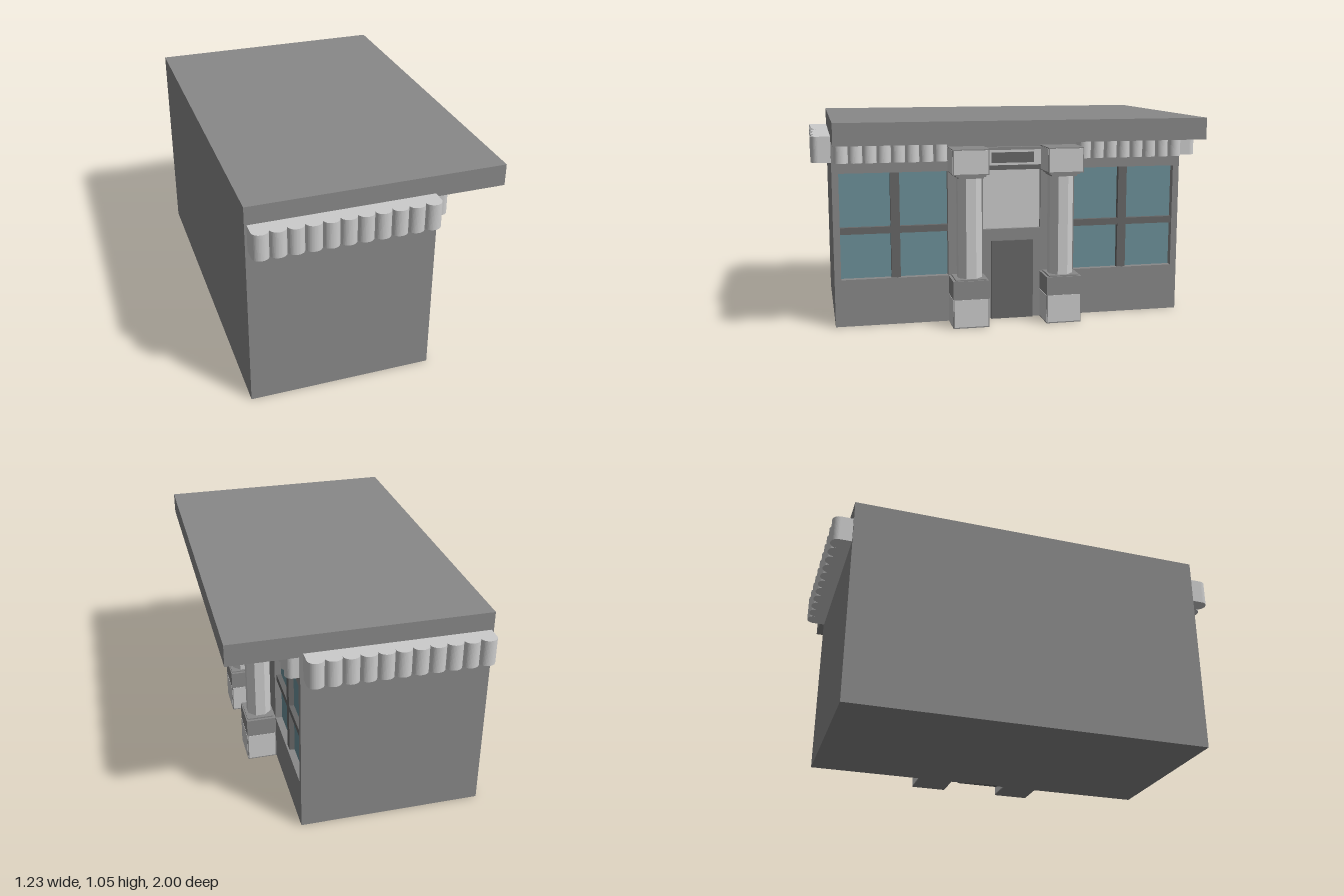
import * as THREE from 'three';

const paint = (color) => new THREE.MeshStandardMaterial({ color, flatShading: true });
const stone = paint(0x898989);
const light = paint(0xc0c0c0);
const dark = paint(0x676767);
const glass = paint(0x6c9099);

export function createModel() {
  const model = new THREE.Group();

  function add(name, geometry, material, parent = model) {
    const mesh = new THREE.Mesh(geometry, material);
    mesh.name = name;
    parent.add(mesh);
    return mesh;
  }

  // Box given by its extents on each axis
  function box(name, [x0, x1], [y0, y1], [z0, z1], material = stone, parent = model) {
    const mesh = add(name, new THREE.BoxGeometry(x1 - x0, y1 - y0, z1 - z0), material, parent);
    mesh.position.set((x0 + x1) / 2, (y0 + y1) / 2, (z0 + z1) / 2);
  }

  // Light panels standing slightly proud of the four sides of a block
  function panels(name, [x0, x1], y, [z0, z1], parent) {
    const inset = 0.005, proud = 0.0015;
    box(name, [x0 - proud, x1 + proud], y, [z0 + inset, z1 - inset], light, parent);
    box(name, [x0 + inset, x1 - inset], y, [z0 - proud, z1 + proud], light, parent);
  }

  function rect(path, z0, z1, y0, y1) {
    path.moveTo(z0, y0);
    path.lineTo(z1, y0);
    path.lineTo(z1, y1);
    path.lineTo(z0, y1);
    path.closePath();
    return path;
  }

  // Scalloped awning: straight back edge, row of rounded lobes outward (-z)
  function awning(name, count, width, base, bulge, height) {
    const half = count * width / 2;
    const shape = new THREE.Shape();
    shape.moveTo(-half, 0);
    shape.lineTo(-half, base);
    for (let i = 0; i < count; i++) {
      shape.absellipse(-half + (i + 0.5) * width, base, width / 2, bulge, Math.PI, 0, true);
    }
    shape.lineTo(half, 0);
    shape.closePath();
    const geometry = new THREE.ExtrudeGeometry(shape, { depth: height, bevelEnabled: false, curveSegments: 10 });
    geometry.rotateX(-Math.PI / 2);
    return add(name, geometry, light);
  }

  // Building mass and overhanging roof
  box('building', [-0.613, 0.241], [0, 0.94], [-0.903, 0.903]);
  box('roof', [-0.613, 0.613], [0.94, 1.046], [-0.903, 0.903]);

  // Shop front wall with openings for the windows and the sign
  const wall = rect(new THREE.Shape(), -0.903, 0.903, 0, 0.94);
  wall.holes.push(rect(new THREE.Path(), -0.87, -0.33, 0.24, 0.775));
  wall.holes.push(rect(new THREE.Path(), 0.33, 0.87, 0.24, 0.775));
  wall.holes.push(rect(new THREE.Path(), -0.15, 0.15, 0.47, 0.8));
  const wallGeometry = new THREE.ExtrudeGeometry(wall, { depth: 0.043, bevelEnabled: false });
  wallGeometry.rotateY(Math.PI / 2);
  add('frontWall', wallGeometry, stone).position.x = 0.241;

  // Door, sign panel and vent in the middle
  box('door', [0.27, 0.296], [0, 0.41], [-0.11, 0.11], dark);
  box('signPanel', [0.235, 0.265], [0.47, 0.772], [-0.15, 0.15], light);
  box('signHead', [0.235, 0.268], [0.772, 0.8], [-0.15, 0.15], dark);
  box('ventFrame', [0.27, 0.3], [0.8, 0.878], [-0.15, 0.15], light);
  box('ventSlot', [0.28, 0.303], [0.812, 0.865], [-0.11, 0.11], dark);
  box('ventLedge', [0.27, 0.31], [0.878, 0.892], [-0.15, 0.15]);

  for (const s of [1, -1]) {
    const span = (a, b) => (s > 0 ? [a, b] : [-b, -a]);

    // Window: four recessed panes between cross bars
    const shopWindow = new THREE.Group();
    shopWindow.name = 'window';
    model.add(shopWindow);
    for (const z of [[0.33, 0.572], [0.618, 0.87]]) {
      for (const y of [[0.24, 0.468], [0.502, 0.775]]) {
        box('pane', [0.235, 0.25], y, span(...z), glass, shopWindow);
      }
    }
    box('mullion', [0.24, 0.275], [0.24, 0.775], span(0.572, 0.618), dark, shopWindow);
    box('transom', [0.24, 0.274], [0.468, 0.502], span(0.33, 0.87), dark, shopWindow);

    // Column on a plinth, with an octagonal shaft and stepped capital
    const column = new THREE.Group();
    column.name = 'column';
    model.add(column);
    const plinthZ = span(0.149, 0.329);
    box('plinth', [0.284, 0.436], [0, 0.24], plinthZ, stone, column);
    panels('plinthPanel', [0.284, 0.436], [0.006, 0.146], plinthZ, column);
    box('plinthCap', [0.292, 0.43], [0.24, 0.247], span(0.162, 0.316), stone, column);
    const radius = 0.06 / Math.cos(Math.PI / 8);
    const shaftGeometry = new THREE.CylinderGeometry(radius, radius, 0.51, 8);
    shaftGeometry.rotateY(Math.PI / 8);
    add('shaft', shaftGeometry, light, column).position.set(0.356, 0.5, s * 0.235);
    box('lowerCapital', [0.305, 0.43], [0.752, 0.762], span(0.172, 0.3), stone, column);
    box('upperCapital', [0.295, 0.441], [0.762, 0.772], span(0.161, 0.314), stone, column);
    box('capitalBlock', [0.284, 0.453], [0.772, 0.898], span(0.149, 0.329), stone, column);
    panels('capitalPanel', [0.284, 0.453], [0.777, 0.893], span(0.149, 0.329), column);

    // Awnings on the side wall and over the window
    const side = awning('sideAwning', 11, 0.0793, 0.064, 0.036, 0.128);
    side.position.set(-0.166, 0.829, s * 0.9);
    side.rotation.y = s > 0 ? Math.PI : 0;
    const front = awning('windowAwning', 8, 0.0695, 0.03, 0.032, 0.11);
    front.position.set(0.284, 0.83, s * 0.614);
    front.rotation.y = -Math.PI / 2;
  }

  return model;
}
